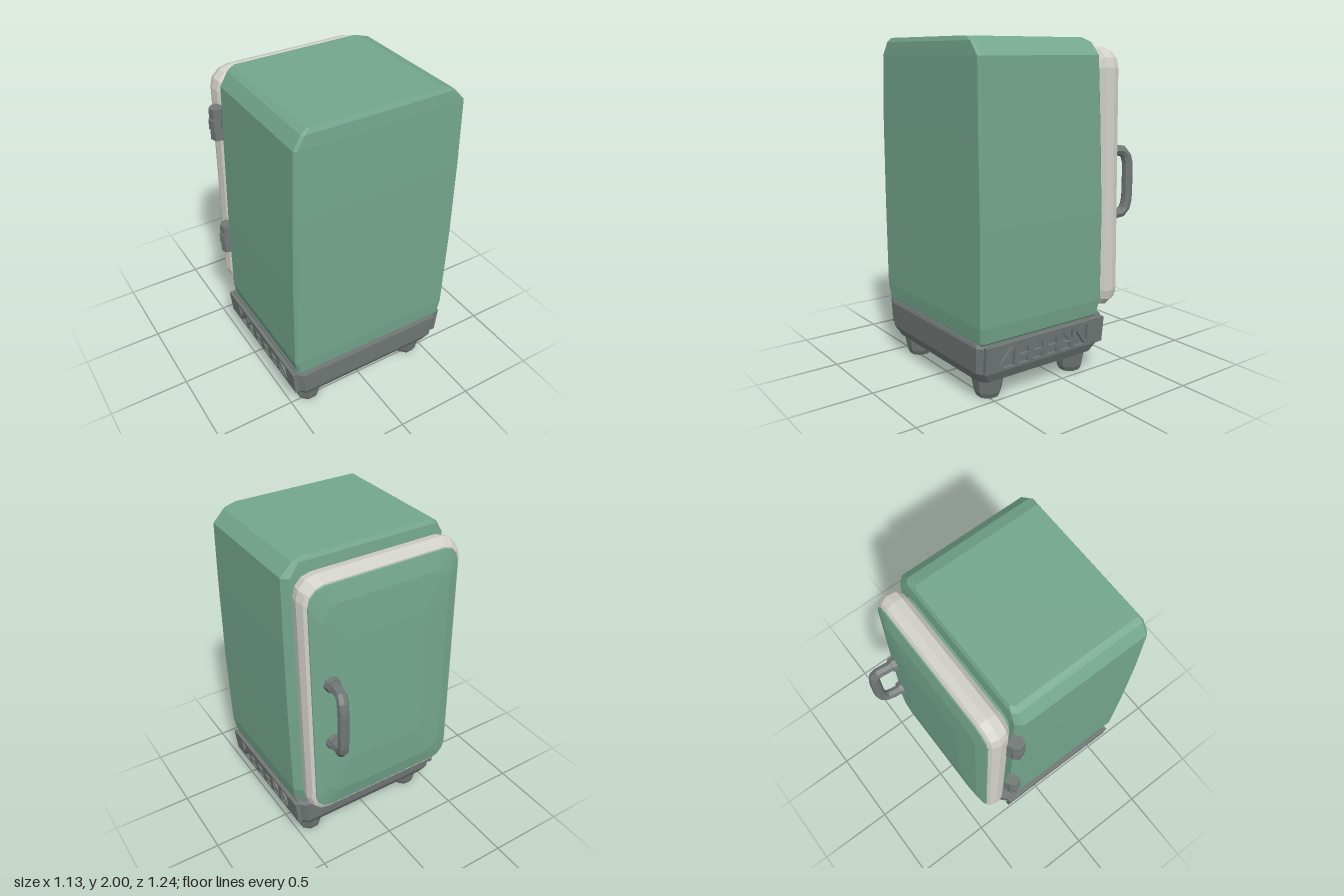
import * as THREE from 'three';

const mat = (color) => new THREE.MeshStandardMaterial({ color, flatShading: true });

function addMesh(parent, name, geometry, material, x = 0, y = 0, z = 0) {
  const m = new THREE.Mesh(geometry, material);
  m.name = name;
  m.position.set(x, y, z);
  parent.add(m);
  return m;
}

// Closed solid through a stack of equal-length rings of [x, y, z], wound outwards
function loft(rings) {
  const n = rings[0].length;
  const pts = rings.flat();
  const tris = [];
  for (let r = 0; r < rings.length - 1; r++) {
    for (let i = 0; i < n; i++) {
      const a = r * n + i, b = r * n + (i + 1) % n;
      tris.push([a, b, b + n], [a, b + n, a + n]);
    }
  }
  const end = (rings.length - 1) * n;
  for (let i = 1; i < n - 1; i++) tris.push([0, i + 1, i], [end, end + i, end + i + 1]);
  const v = pts.map((p) => new THREE.Vector3(...p));
  const volume = tris.reduce((s, [a, b, c]) => s + v[a].dot(v[b].clone().cross(v[c])), 0);
  const index = tris.flatMap(([a, b, c]) => (volume > 0 ? [a, b, c] : [a, c, b]));
  const g = new THREE.BufferGeometry();
  g.setAttribute('position', new THREE.Float32BufferAttribute(pts.flat(), 3));
  g.setIndex(index);
  const flat = g.toNonIndexed();
  flat.computeVertexNormals();
  return flat;
}

// Horizontal ring: rectangle with separate corner cuts at front (cf) and back (cb)
function plan(y, x0, x1, back, front, cf, cb, skew = 0) {
  return [
    [x0 + cf, y, front], [x1 - cf, y, front], [x1, y, front - cf],
    [x1, y, back + cb], [x1 - cb, y, back],
    [x0 + cb, y, back + skew], [x0, y, back + skew + cb], [x0, y, front - cf],
  ];
}

// Upright ring for the door: rounded rectangle, leaning slightly
function doorRing(z, hw, hh, r) {
  const pts = [];
  const corners = [[1, 1], [-1, 1], [-1, -1], [1, -1]];
  corners.forEach(([sx, sy], q) => {
    for (let i = 0; i <= 3; i++) {
      const a = (q + i / 3) * Math.PI / 2;
      const x = 0.015 + sx * (hw - r) + r * Math.cos(a);
      const y = 1.16 + sy * (hh - r) + r * Math.sin(a);
      pts.push([x, y, z + (y - 1.16) * 0.02]);
    }
  });
  return pts;
}

function polygonPath(points) {
  return new THREE.Path(points.map(([u, v]) => new THREE.Vector2(u, v)));
}

// Side grille of the base, drawn in (z, y) and pierced with slots and triangles
function grilleGeometry() {
  const s = new THREE.Shape([
    [-0.27, 0.19], [0.59, 0.19], [0.59, 0.35], [-0.27, 0.35],
  ].map(([u, v]) => new THREE.Vector2(u, v)));
  const slot = (u0, u1, v0, v1) =>
    s.holes.push(polygonPath([[u0, v0], [u1, v0], [u1, v1], [u0, v1]]));
  const triangle = (...p) => s.holes.push(polygonPath(p));
  for (const u of [0.3, 0.195, 0.09]) {
    slot(u, u + 0.065, 0.262, 0.3);
    slot(u, u + 0.065, 0.206, 0.24);
  }
  slot(-0.02, 0.05, 0.206, 0.24);
  triangle([-0.03, 0.262], [0.04, 0.328], [-0.03, 0.328]);
  triangle([0.05, 0.255], [0.05, 0.315], [-0.013, 0.255]);
  for (const [a, b] of [[0.49, 0.395], [-0.145, -0.055]]) {
    const d = Math.sign(b - a) * 0.016;
    triangle([a, 0.225], [b - d, 0.328], [a, 0.328]);
    triangle([a + d, 0.206], [b, 0.206], [b, 0.31]);
  }
  return new THREE.ExtrudeGeometry(s, { depth: 0.026, bevelEnabled: false });
}

export function createModel() {
  const fridge = new THREE.Group();
  fridge.name = 'fridge';
  const green = mat(0x74a68e);
  const dark = mat(0x707876);
  const cream = mat(0xd2d0ca);

  // Cabinet with cut top edges and a slightly leaning back
  addMesh(fridge, 'cabinet', loft([
    plan(0.345, -0.49, 0.52, -0.24, 0.59, 0.015, 0.04),
    plan(0.37, -0.5, 0.54, -0.262, 0.61, 0.015, 0.04, 0.02),
    plan(0.46, -0.52, 0.553, -0.28, 0.617, 0.015, 0.04, 0.03),
    plan(1.0, -0.522, 0.558, -0.272, 0.617, 0.015, 0.04, 0.03),
    plan(1.5, -0.515, 0.55, -0.255, 0.617, 0.015, 0.04, 0.02),
    plan(1.9, -0.502, 0.54, -0.235, 0.612, 0.015, 0.035),
    plan(1.975, -0.455, 0.47, -0.228, 0.607, 0.015, 0.025),
    plan(2.0, -0.42, 0.4, -0.215, 0.595, 0.01, 0.02),
  ]), green);

  // Plinth
  const base = new THREE.Group();
  base.name = 'base';
  fridge.add(base);
  addMesh(base, 'plinth', loft([
    plan(0.12, -0.465, 0.495, -0.25, 0.575, 0.04, 0.04),
    plan(0.185, -0.495, 0.525, -0.288, 0.61, 0.04, 0.04),
    plan(0.34, -0.51, 0.54, -0.298, 0.62, 0.04, 0.04),
    plan(0.36, -0.505, 0.535, -0.285, 0.612, 0.04, 0.04),
  ]), dark);

  // Grilles on both sides
  for (const side of [-1, 1]) {
    const g = grilleGeometry();
    const p = g.attributes.position;
    for (let i = 0; i < p.count; i++) {
      const u = p.getX(i), v = p.getY(i), d = p.getZ(i);
      const x = 0.015 + side * (0.504 + d + (v - 0.19) * 0.1);
      p.setXYZ(i, x, v, u);
    }
    if (side > 0) {
      // Swap two corners so the faces point outwards after the axis swap
      for (let i = 0; i < p.count; i += 3) {
        const a = [p.getX(i), p.getY(i), p.getZ(i)];
        p.setXYZ(i, p.getX(i + 1), p.getY(i + 1), p.getZ(i + 1));
        p.setXYZ(i + 1, ...a);
      }
    }
    g.computeVertexNormals();
    addMesh(base, side > 0 ? 'leftGrille' : 'rightGrille', g, dark);
  }

  // Feet
  const footProfile = [[0, 0], [0.065, 0], [0.08, 0.03], [0.097, 0.125], [0, 0.14]]
    .map(([r, y]) => new THREE.Vector2(r, y));
  for (const x of [-0.37, 0.4]) {
    for (const z of [0.475, -0.14]) {
      const foot = addMesh(base, 'foot', new THREE.LatheGeometry(footProfile, 8), dark, x, 0, z);
      foot.rotation.y = Math.PI / 8;
    }
  }

  // Door: seal, pale frame and domed panel
  const door = new THREE.Group();
  door.name = 'door';
  fridge.add(door);
  addMesh(door, 'doorSeal', loft([
    doorRing(-0.2, 0.44, 0.71, 0.08),
    doorRing(-0.3, 0.46, 0.74, 0.08),
  ]), green);
  addMesh(door, 'doorFrame', loft([
    doorRing(-0.27, 0.475, 0.75, 0.09),
    doorRing(-0.3, 0.505, 0.782, 0.11),
    doorRing(-0.35, 0.515, 0.79, 0.12),
    doorRing(-0.395, 0.5, 0.775, 0.11),
    doorRing(-0.408, 0.48, 0.755, 0.1),
  ]), cream);
  addMesh(door, 'doorPanel', loft([
    doorRing(-0.39, 0.487, 0.755, 0.1),
    doorRing(-0.414, 0.48, 0.745, 0.1),
    doorRing(-0.437, 0.41, 0.64, 0.1),
    doorRing(-0.45, 0.25, 0.42, 0.1),
  ]), green);

  // Handle with collars
  const handle = new THREE.Group();
  handle.name = 'handle';
  door.add(handle);
  const half = [[0.385, 0.2, -0.43], [0.39, 0.2, -0.5], [0.4, 0.19, -0.557], [0.408, 0.14, -0.582]];
  const path = [...half, [0.41, 0, -0.588], ...half.slice().reverse().map(([x, y, z]) => [x, -y, z])]
    .map(([x, y, z]) => new THREE.Vector3(x, y + 1.125, z));
  addMesh(handle, 'grip',
    new THREE.TubeGeometry(new THREE.CatmullRomCurve3(path), 16, 0.034, 8), dark);
  for (const s of [-1, 1]) {
    const collar = addMesh(handle, 'collar',
      new THREE.CylinderGeometry(0.052, 0.045, 0.045, 8), dark, 0.387, 1.125 + s * 0.2, -0.445);
    collar.rotation.x = Math.PI / 2;
  }

  // Hinges, each a stack of knuckles with a leaf tucked behind the door
  for (const y of [1.655, 0.835]) {
    const hinge = new THREE.Group();
    hinge.name = 'hinge';
    hinge.position.set(-0.52, y, -0.25);
    fridge.add(hinge);
    for (const k of [-1, 0, 1]) {
      const knuckle = addMesh(hinge, 'knuckle',
        new THREE.CylinderGeometry(0.042, 0.042, 0.064, 6), dark,
        k === 0 ? -0.006 : 0, k * 0.067, 0);
      knuckle.rotation.y = 0.3;
    }
    const leaf = addMesh(hinge, 'leaf', new THREE.BoxGeometry(0.05, 0.19, 0.07), dark, 0.015, 0, -0.01);
    leaf.rotation.y = 0.5;
  }
  return fridge;
}
